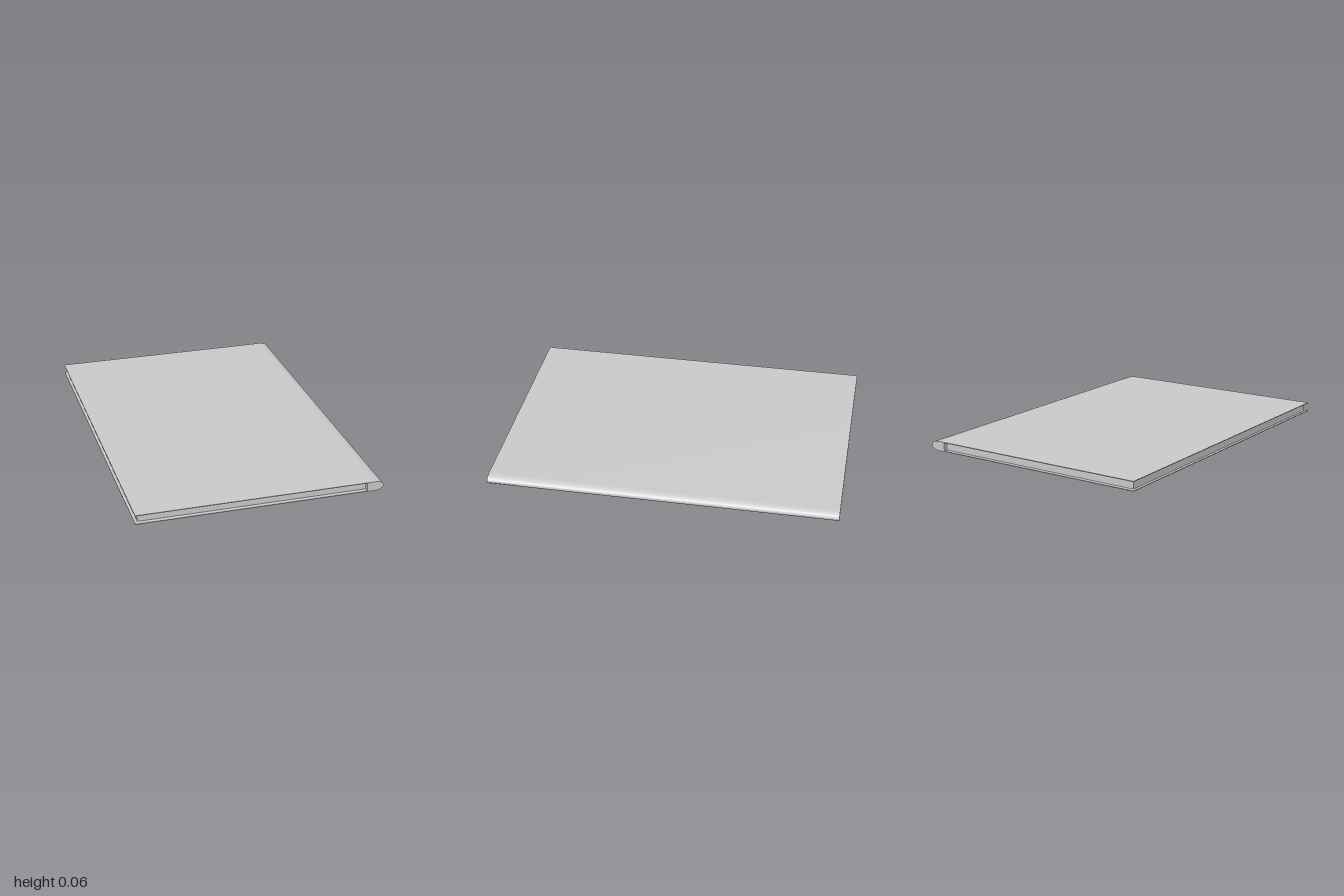
import * as THREE from 'three';
import { toCreasedNormals } from 'three/addons/utils/BufferGeometryUtils.js';

const HALF_W = 0.692, HALF_L = 0.994, HEIGHT = 0.055;
const BOARD = 0.004;           // thickness of the cover boards
const ROUND = 0.05;            // depth of the rounded spine edge
const SPINE_INNER = 0.598;     // where the spine meets the pages

// The book lies slightly skewed and tilted
function skew(geometry) {
  const m = new THREE.Matrix4().set(
    1, 0, 0.0075, 0,
    0, 1, 0.0025, 0.0025,
    0.0075, 0, 1, 0,
    0, 0, 0, 1);
  geometry.applyMatrix4(m);
  return toCreasedNormals(geometry, 0.6);
}

export function createModel() {
  const book = new THREE.Group();
  book.name = 'book';
  const material = new THREE.MeshStandardMaterial({ color: 0xcccccc });
  const add = (name, geometry) => {
    const mesh = new THREE.Mesh(skew(geometry), material);
    mesh.name = name;
    book.add(mesh);
  };

  // Two thin boards joined by a solid spine with a half-elliptical edge
  const profile = new THREE.Shape();
  profile.moveTo(-HALF_W, 0);
  profile.lineTo(HALF_W - ROUND, 0);
  profile.absellipse(HALF_W - ROUND, HEIGHT / 2, ROUND, HEIGHT / 2, -Math.PI / 2, Math.PI / 2, false);
  profile.lineTo(-HALF_W, HEIGHT);
  profile.lineTo(-HALF_W, HEIGHT - BOARD);
  profile.lineTo(SPINE_INNER, HEIGHT - BOARD);
  profile.lineTo(SPINE_INNER, BOARD);
  profile.lineTo(-HALF_W, BOARD);
  profile.closePath();
  const cover = new THREE.ExtrudeGeometry(profile, {
    depth: HALF_L * 2, bevelEnabled: false, curveSegments: 20,
  });
  cover.translate(0, 0, -HALF_L);
  add('coverAndSpine', cover);

  // Page block, set back from the three open edges
  const left = -HALF_W + 0.016;
  const pages = new THREE.BoxGeometry(SPINE_INNER - left, HEIGHT - 2 * BOARD, 2 * (HALF_L - 0.025));
  pages.translate((SPINE_INNER + left) / 2, HEIGHT / 2, 0);
  add('pages', pages);

  return book;
}
